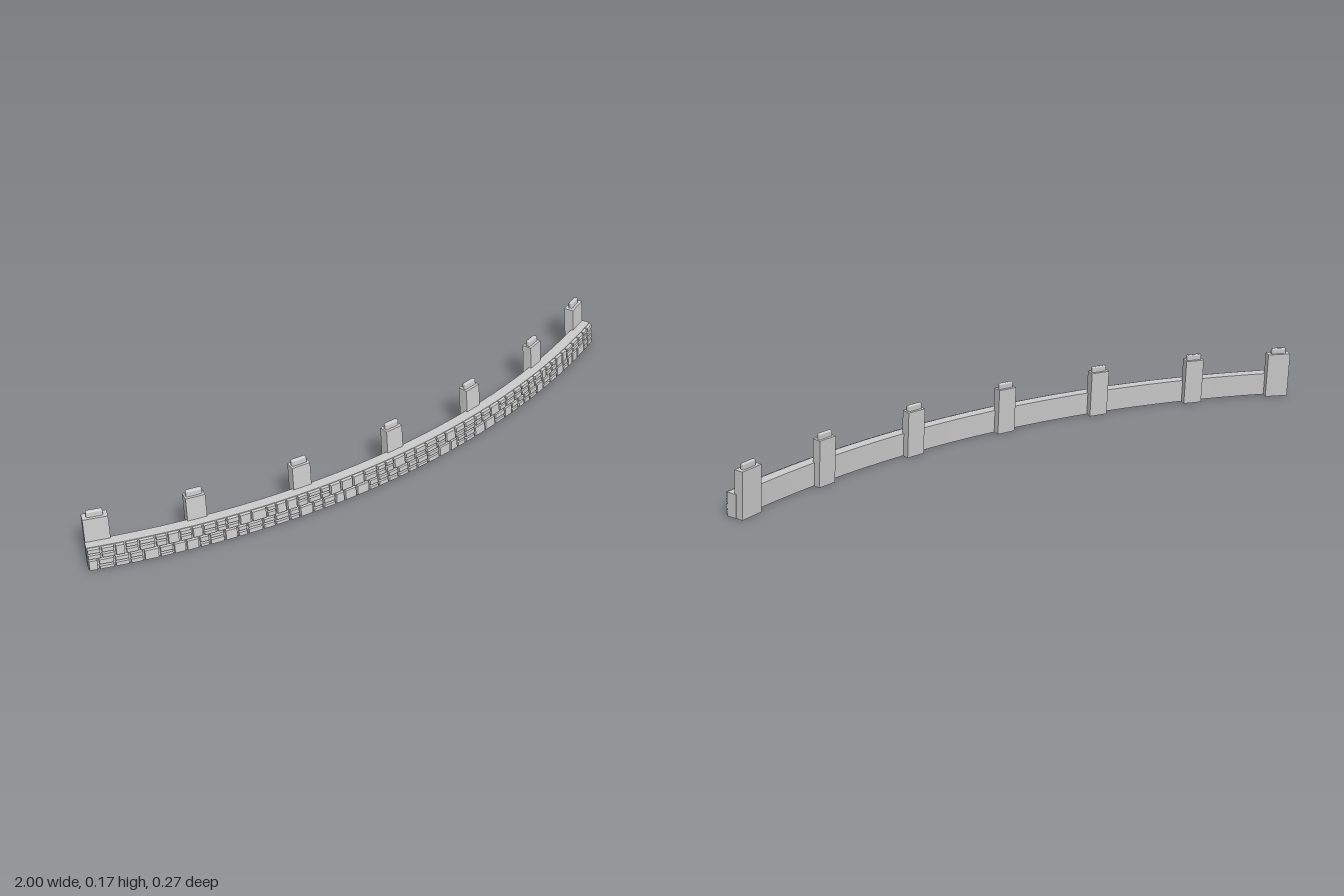
import * as THREE from 'three';
import { mergeGeometries } from 'three/addons/utils/BufferGeometryUtils.js';
import { RoundedBoxGeometry } from 'three/addons/geometries/RoundedBoxGeometry.js';

const CENTRE_Z = -2.47;  // centre of the wall's arc
const LEAN = 0.08;       // everything leans back by this much per unit of height
const HALF = 0.394;      // half of the arc, in radians
const HEIGHT = 0.075;
const CORE_R = 2.598;    // face of the mortar
const FACE_R = 2.607;    // face of the stones

// Block bent along the arc; its outer face may be narrowed by a bevel.
function bentBlock(a0, a1, r0, r1, y0, y1, segments = 1, bevel = 0) {
  const g = new THREE.BoxGeometry(1, 1, 1, segments, 1, 1);
  const p = g.attributes.position;
  for (let i = 0; i < p.count; i++) {
    const inset = p.getZ(i) > 0 ? bevel : 0;
    const b = inset / r1;
    const a = THREE.MathUtils.lerp(a0 + b, a1 - b, p.getX(i) + 0.5);
    const y = THREE.MathUtils.lerp(y0 + inset, y1 - inset, p.getY(i) + 0.5);
    const r = THREE.MathUtils.lerp(r0, r1, p.getZ(i) + 0.5) - LEAN * y;
    p.setXYZ(i, r * Math.sin(a), y, CENTRE_Z + r * Math.cos(a));
  }
  g.computeVertexNormals();
  return g;
}

// Lean a part back and set it on the arc.
function placeOnArc(g, angle, radius) {
  const shear = new THREE.Matrix4().set(1, 0, 0, 0, 0, 1, 0, 0, 0, -LEAN, 1, 0, 0, 0, 0, 1);
  g.applyMatrix4(shear).rotateY(angle);
  return g.translate(radius * Math.sin(angle), 0, CENTRE_Z + radius * Math.cos(angle));
}

function seeded(seed) {
  return () => (seed = (seed * 16807) % 2147483647) / 2147483647;
}

export function createModel() {
  const model = new THREE.Group();
  const material = new THREE.MeshStandardMaterial({ color: 0xcccccc });
  const add = (name, geometry) => {
    const mesh = new THREE.Mesh(geometry, material);
    mesh.name = name;
    model.add(mesh);
  };

  // Curved wall body
  add('wallCore', bentBlock(-HALF, HALF, 2.563, CORE_R, 0, HEIGHT, 64));

  // Stone facing: two courses of single tall stones and stacked pairs
  const random = seeded(17);
  const stones = [];
  const gap = 0.0035;
  const stone = (a0, a1, y0, y1) => stones.push(
    bentBlock(a0 + gap / 2 / FACE_R, a1 - gap / 2 / FACE_R, CORE_R - 0.003, FACE_R,
      y0 + gap / 2, y1 - gap / 2, 2, 0.0015));
  for (let course = 0; course < 2; course++) {
    const y0 = course * HEIGHT / 2;
    const y1 = y0 + HEIGHT / 2;
    let a = -HALF;
    while (a < HALF - 1e-6) {
      let next = a + (0.03 + 0.02 * random()) / FACE_R;
      if (HALF - next < 0.008) next = HALF;
      if (random() < 0.3) {
        stone(a, next, y0, y1);
      } else {
        const split = y0 + (y1 - y0) * (0.42 + 0.16 * random());
        stone(a, next, y0, split);
        stone(a, next, split, y1);
      }
      a = next;
    }
  }
  add('stoneFacing', mergeGeometries(stones));

  // Leaning posts behind the wall, each with a peg on top
  for (let i = -3; i <= 3; i++) {
    const end = Math.abs(i) === 3;
    const angle = end ? Math.sign(i) * 0.379 : i * 0.132;
    const radius = 2.555;
    const post = new THREE.BoxGeometry(end ? 0.074 : 0.06, 0.15, 0.031).translate(0, 0.075, 0);
    add('post', placeOnArc(post, angle, radius));
    const peg = new RoundedBoxGeometry(0.049, 0.026, 0.014, 2, 0.004).translate(0, 0.155, 0);
    add('postPeg', placeOnArc(peg, angle, radius));
  }
  return model;
}
